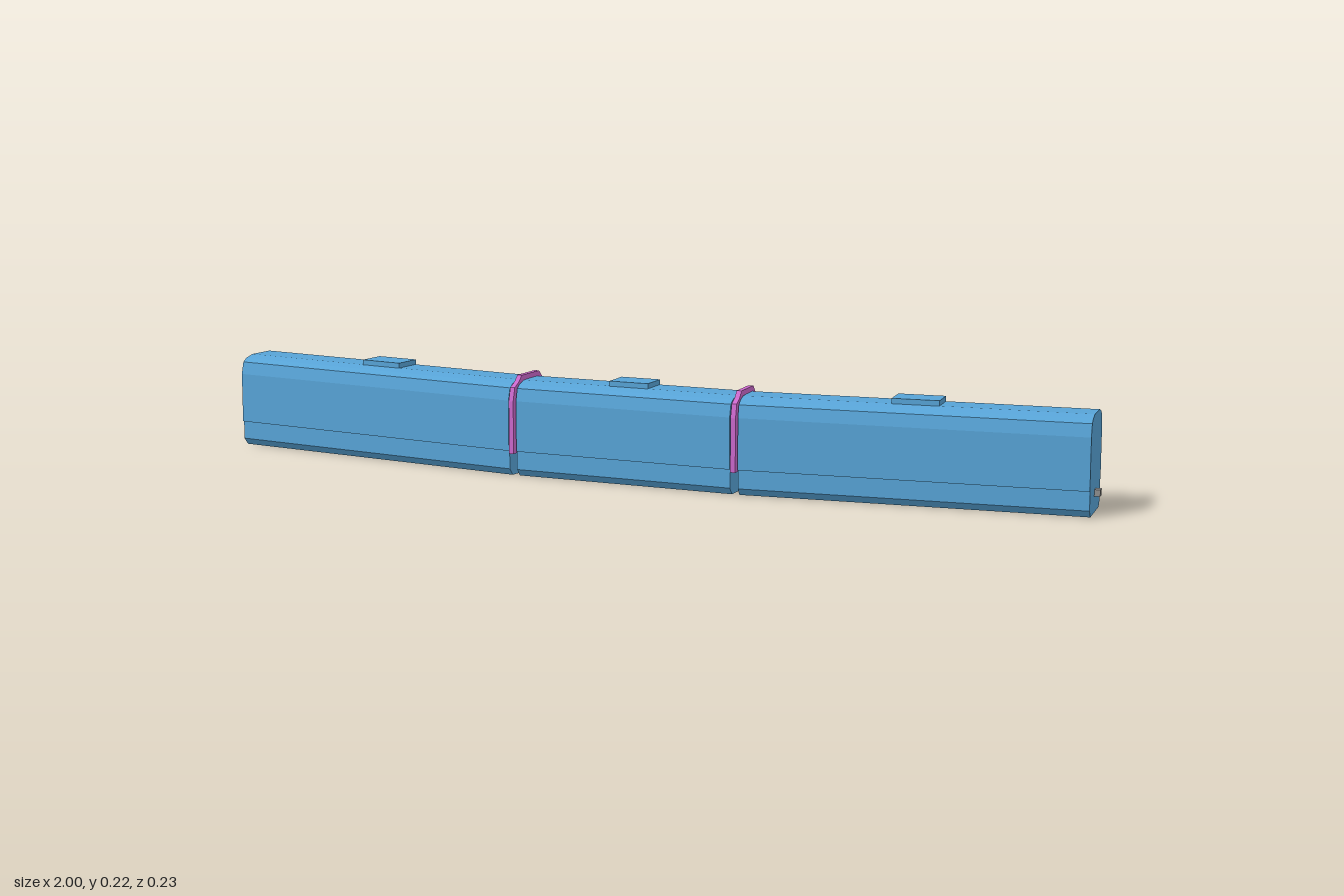
import * as THREE from 'three';

const blue = new THREE.MeshStandardMaterial({ color: 0x57a3d6 });
blue.name = 'bodyBlue';
const pink = new THREE.MeshStandardMaterial({ color: 0xcb68cc });
pink.name = 'bellowsPink';
const grey = new THREE.MeshStandardMaterial({ color: 0x8f8f8f });
grey.name = 'couplerGrey';

// Half outlines (half width, height), from the bottom up
const bodyOutline = [[0.055, 0], [0.067, 0.015], [0.067, 0.055], [0.0705, 0.055],
  [0.0705, 0.165], [0.064, 0.192], [0.053, 0.2], [0.031, 0.206]];
const bellowsOutline = [[0.0755, 0.05], [0.0755, 0.165], [0.068, 0.194],
  [0.05, 0.204], [0.0375, 0.217]];

// Mirrored outline extruded along x, centred on x = 0
function prism(half, length) {
  const mirrored = half.map(([w, y]) => [-w, y]).reverse();
  const shape = new THREE.Shape([...half, ...mirrored].map(([w, y]) => new THREE.Vector2(w, y)));
  const geo = new THREE.ExtrudeGeometry(shape, { depth: length, bevelEnabled: false });
  geo.translate(0, 0, -length / 2);
  return geo.rotateY(Math.PI / 2);
}

function add(parent, name, geo, material, x = 0, y = 0, z = 0) {
  const mesh = new THREE.Mesh(geo, material);
  mesh.name = name;
  mesh.position.set(x, y, z);
  parent.add(mesh);
  return mesh;
}

// One car: body shell and a roof box
function car(name, length, hatchLength) {
  const group = new THREE.Group();
  group.name = name;
  add(group, 'body', prism(bodyOutline, length), blue);
  add(group, 'roofBox', new THREE.BoxGeometry(hatchLength, 0.017, 0.064), blue, 0, 0.2085, 0);
  return group;
}

export function createModel() {
  const model = new THREE.Group();
  model.name = 'articulatedTrain';
  const bend = 0.11;
  const midZ = 0.0375;

  const middle = car('middleCar', 0.497, 0.09);
  middle.position.z = midZ;
  model.add(middle);

  for (const side of [1, -1]) {
    // End car, angled backwards
    const length = 0.731;
    const end = car(side > 0 ? 'leftCar' : 'rightCar', length, 0.1);
    end.position.set(side * 0.6225, 0, -0.0025);
    end.rotation.y = side * bend;
    add(end, 'coupler', new THREE.BoxGeometry(0.022, 0.014, 0.019), grey,
      side * (length / 2 + 0.001), 0.041, 0);
    model.add(end);

    // Bellows in the joint, at half the bend
    const bellows = add(model, 'bellows', prism(bellowsOutline, 0.011), pink, side * 0.254, 0, midZ);
    bellows.rotation.y = side * bend / 2;
  }
  return model;
}
